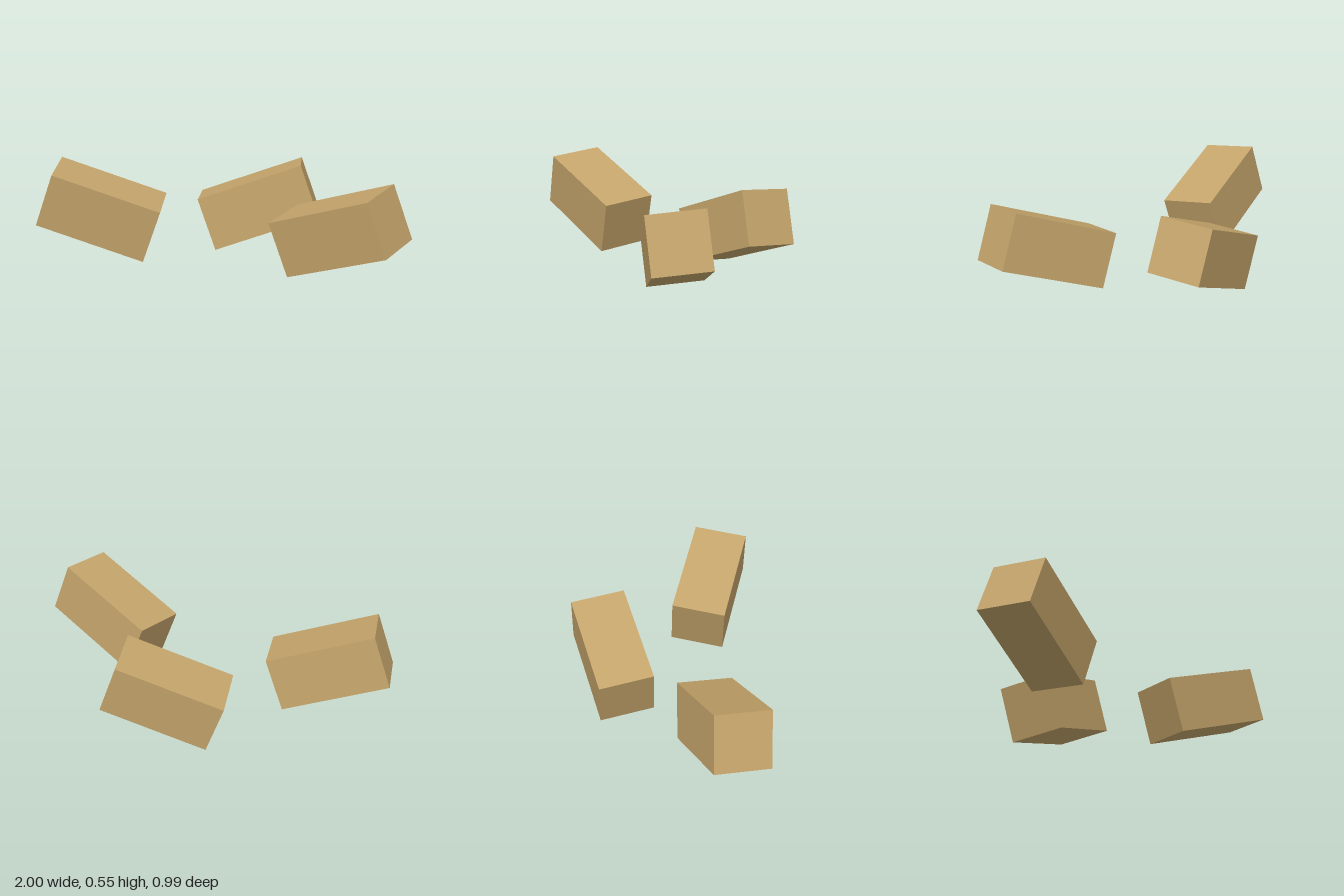
import * as THREE from 'three';

export function createModel() {
  const model = new THREE.Group();
  const tan = new THREE.MeshStandardMaterial({ color: 0xc4a46b });
  const block = new THREE.BoxGeometry(0.59, 0.295, 0.295);
  const deg = THREE.MathUtils.degToRad;

  // Each block is turned about its upright axis, then tilted sideways
  function addBlock(name, position, turn, tilt) {
    const mesh = new THREE.Mesh(block, tan);
    mesh.name = name;
    mesh.position.set(...position);
    mesh.rotation.set(0, deg(turn), deg(tilt), 'ZYX');
    model.add(mesh);
  }

  // Mirrored pair at the front
  for (const side of [1, -1]) {
    addBlock(side > 0 ? 'leftBlock' : 'rightBlock', [side * 0.646, 0.309, 0.276], -15 * side, 20 * side);
  }

  // Single lower block at the back
  addBlock('backBlock', [0.054, 0.253, -0.276], 15, 20);

  return model;
}
